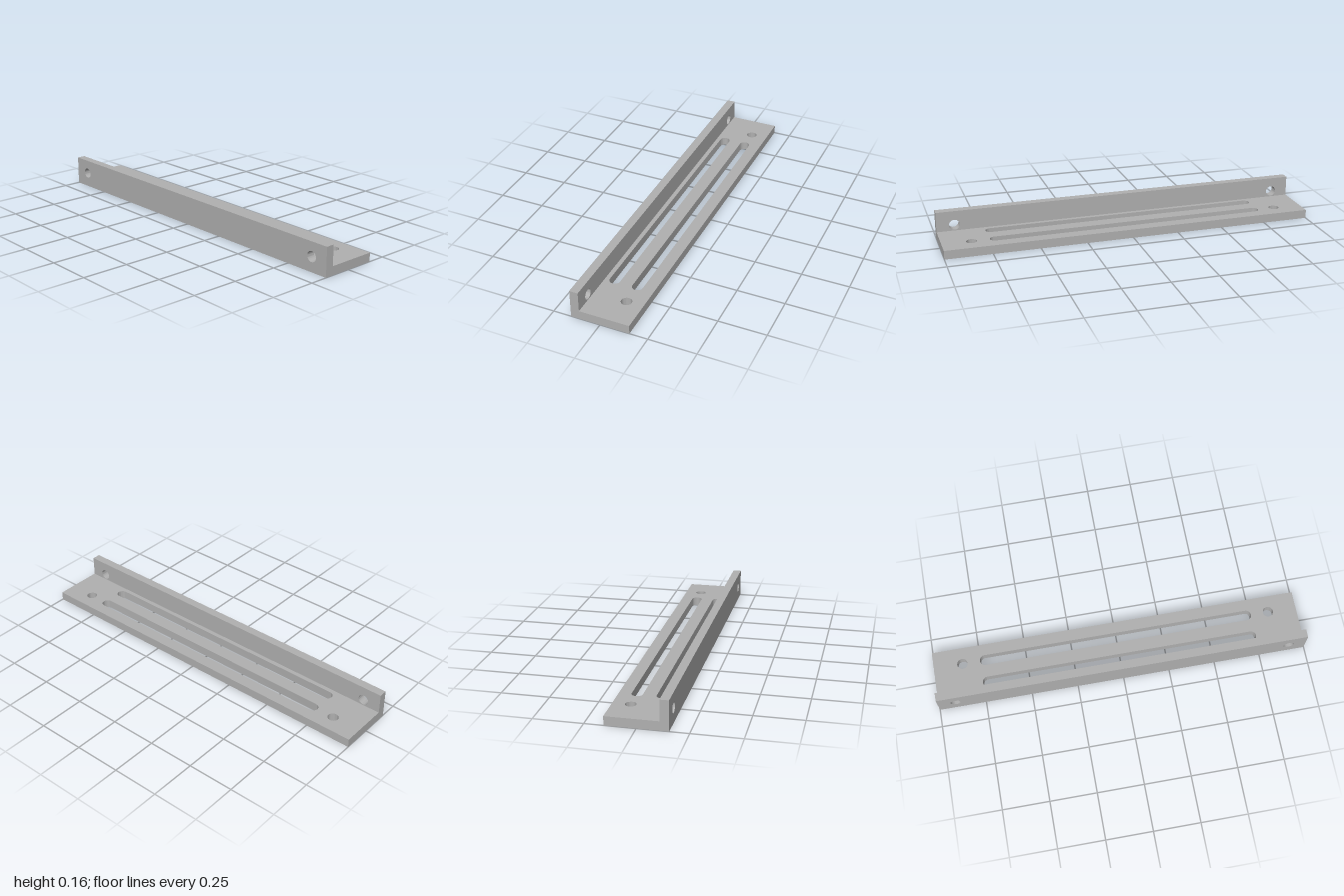
import * as THREE from 'three';
import { toCreasedNormals } from 'three/addons/utils/BufferGeometryUtils.js';

const DEPTH = 0.155; // half depth of the bracket
const BASE = 0.047; // base thickness
const WALL = 0.045; // wall thickness
const HEIGHT = 0.155;
const RADIUS = 0.028;

function rectangle(y0, y1) {
  return new THREE.Shape([
    new THREE.Vector2(-1, y0), new THREE.Vector2(1, y0),
    new THREE.Vector2(1, y1), new THREE.Vector2(-1, y1),
  ]);
}

function roundHole(x, y) {
  return new THREE.Path().absarc(x, y, RADIUS, 0, Math.PI * 2, true);
}

// Long slot with half-round ends
function slot(y, halfLength) {
  const c = halfLength - RADIUS;
  const path = new THREE.Path();
  path.absarc(c, y, RADIUS, -Math.PI / 2, Math.PI / 2, false);
  path.absarc(-c, y, RADIUS, Math.PI / 2, Math.PI * 1.5, false);
  path.closePath();
  return path;
}

function plate(shape, depth) {
  const geometry = new THREE.ExtrudeGeometry(shape, { depth, bevelEnabled: false, curveSegments: 20 });
  return toCreasedNormals(geometry, 0.6);
}

export function createModel() {
  const group = new THREE.Group();
  group.name = 'slottedAngleBracket';
  const metal = new THREE.MeshStandardMaterial({ color: 0xb0b0b0 });
  metal.name = 'grey metal';

  // Flat base with two slots and a bolt hole near each end
  const baseShape = rectangle(-DEPTH, DEPTH);
  baseShape.holes.push(slot(-0.065, 0.75), slot(0.059, 0.75));
  // Upright front wall standing on the base, with a hole near each end
  const wallShape = rectangle(BASE, HEIGHT);
  for (const side of [-1, 1]) {
    baseShape.holes.push(roundHole(side * 0.845, -0.065));
    wallShape.holes.push(roundHole(side * 0.905, 0.079));
  }

  const base = new THREE.Mesh(plate(baseShape, BASE), metal);
  base.name = 'slottedBase';
  base.geometry.rotateX(Math.PI / 2).translate(0, BASE, 0);

  const wall = new THREE.Mesh(plate(wallShape, WALL), metal);
  wall.name = 'frontWall';
  wall.geometry.translate(0, 0, DEPTH - WALL);

  group.add(base, wall);
  return group;
}
